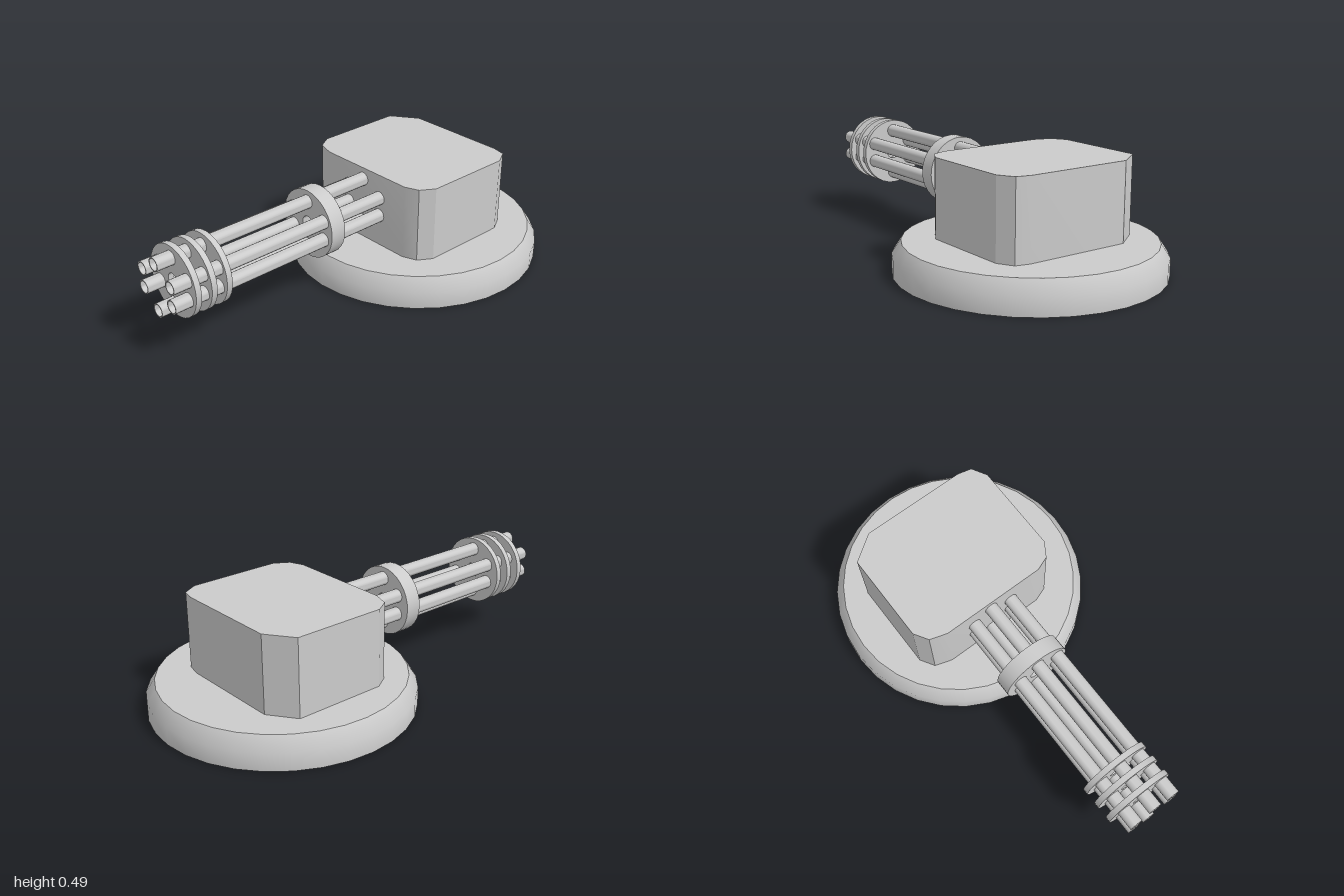
import * as THREE from 'three';
import { toCreasedNormals } from 'three/addons/utils/BufferGeometryUtils.js';

const material = new THREE.MeshStandardMaterial({ color: 0xcccccc });

function part(name, geometry, crease, parent) {
  const mesh = new THREE.Mesh(toCreasedNormals(geometry, crease), material);
  mesh.name = name;
  parent.add(mesh);
  return mesh;
}

// Ring with a bore, running along +z from z0 to z1
function ring(outer, inner, z0, z1, segments) {
  const shape = new THREE.Shape().absarc(0, 0, outer, 0, Math.PI * 2);
  shape.holes.push(new THREE.Path().absarc(0, 0, inner, 0, Math.PI * 2, true));
  return new THREE.ExtrudeGeometry(shape, {
    depth: z1 - z0, bevelEnabled: false, curveSegments: segments,
  }).translate(0, 0, z0);
}

export function createModel() {
  const model = new THREE.Group();
  model.name = 'rotaryGunTurret';

  // Round base with a chamfered rim
  const profile = [[0, 0], [0.585, 0], [0.585, 0.08], [0.545, 0.14], [0, 0.14]]
    .map(([r, y]) => new THREE.Vector2(r, y));
  part('base', new THREE.LatheGeometry(profile, 32), 0.75, model).position.z = -0.415;

  // Turret housing, outlined from above as x, z
  const outline = [
    [-0.26, -0.11], [0.23, -0.11], [0.295, -0.135], [0.335, -0.2],
    [0.335, -0.62], [0.295, -0.69], [0.23, -0.705], [-0.26, -0.705],
    [-0.38, -0.62], [-0.38, -0.2], [-0.34, -0.135],
  ].map(([x, z]) => new THREE.Vector2(x, -z));
  const housing = new THREE.ExtrudeGeometry(new THREE.Shape(outline), { depth: 0.35, bevelEnabled: false });
  housing.rotateX(-Math.PI / 2).translate(0, 0.14, 0);
  part('housing', housing, 0.5, model);

  // Barrel cluster
  const gun = new THREE.Group();
  gun.name = 'barrelCluster';
  gun.position.set(-0.03, 0.328, 0);
  model.add(gun);

  const barrels = [[0, 0.108], [0.106, 0.05], [0.106, -0.037], [0, -0.105], [-0.091, -0.037], [-0.091, 0.05]];
  for (const [x, y] of barrels) {
    part('barrel', ring(0.031, 0.026, -0.12, 1, 10), 0.8, gun).position.set(x, y, 0);
  }

  // Clamp collar and the three muzzle plates
  part('collar', ring(0.16, 0.034, 0.145, 0.22, 16), 0.8, gun);
  for (const z of [0.745, 0.818, 0.893]) {
    part('muzzlePlate', ring(0.16, 0.034, z, z + 0.026, 16), 0.8, gun);
  }

  return model;
}
